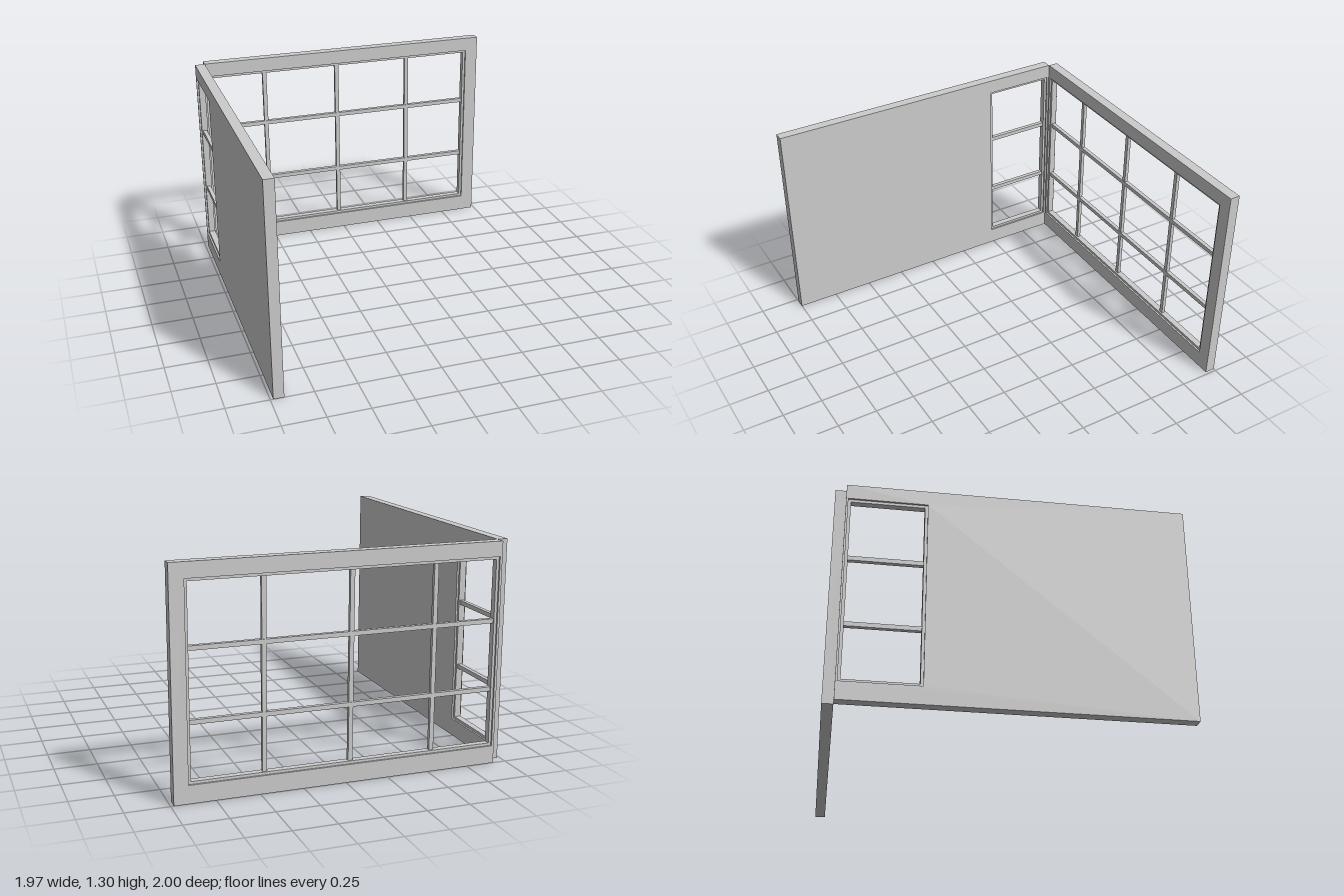
import * as THREE from 'three';

const HEIGHT = 1.305, THICK = 0.062, BAR = 0.026, LINER = 0.016, LINER_DEPTH = 0.04;
const material = new THREE.MeshStandardMaterial({ color: 0xcccccc });

function rectanglePoints(x0, x1, y0, y1) {
  return [[x0, y0], [x1, y0], [x1, y1], [x0, y1]].map(([x, y]) => new THREE.Vector2(x, y));
}

// Rectangular slab with a rectangular hole, centred on z = 0
function holedSlab(name, outer, hole, depth) {
  const shape = new THREE.Shape(rectanglePoints(...outer));
  shape.holes.push(new THREE.Path(rectanglePoints(...hole).reverse()));
  const geometry = new THREE.ExtrudeGeometry(shape, { depth, bevelEnabled: false });
  geometry.translate(0, 0, -depth / 2);
  const mesh = new THREE.Mesh(geometry, material);
  mesh.name = name;
  return mesh;
}

function bar(name, width, height, depth, x, y) {
  const mesh = new THREE.Mesh(new THREE.BoxGeometry(width, height, depth), material);
  mesh.name = name;
  mesh.position.set(x, y, 0);
  return mesh;
}

// Wall in its own xy plane, with a lined window and glazing bars
function windowWall(name, x0, x1, opening, uprights) {
  const wall = new THREE.Group();
  wall.name = name;
  const [a, b, c, d] = opening;
  wall.add(holedSlab('wallPanel', [x0, x1, 0, HEIGHT], opening, THICK));
  wall.add(holedSlab('windowFrame', opening,
    [a + LINER, b - LINER, c + LINER, d - LINER], LINER_DEPTH));
  for (const y of [0.446, 0.847]) {
    wall.add(bar('horizontalBar', b - a - LINER, BAR, BAR, (a + b) / 2, y));
  }
  for (const x of uprights) {
    wall.add(bar('verticalBar', BAR, d - c - LINER, BAR - 0.004, x, (c + d) / 2));
  }
  return wall;
}

export function createModel() {
  const model = new THREE.Group();
  model.name = 'cornerWalls';

  // Back wall with the wide window
  const back = windowWall('backWall', -0.921, 0.983, [-0.907, 0.9, 0.105, 1.217], [-0.527, -0.03, 0.47]);
  back.position.z = -1 + THICK / 2;
  model.add(back);

  // Side wall with the narrow window next to the corner; local x runs along -z
  const side = windowWall('sideWall', -1, 0.938, [0.482, 0.926, 0.105, 1.217], []);
  side.rotation.y = Math.PI / 2;
  side.position.x = -0.983 + THICK / 2;
  model.add(side);

  return model;
}
